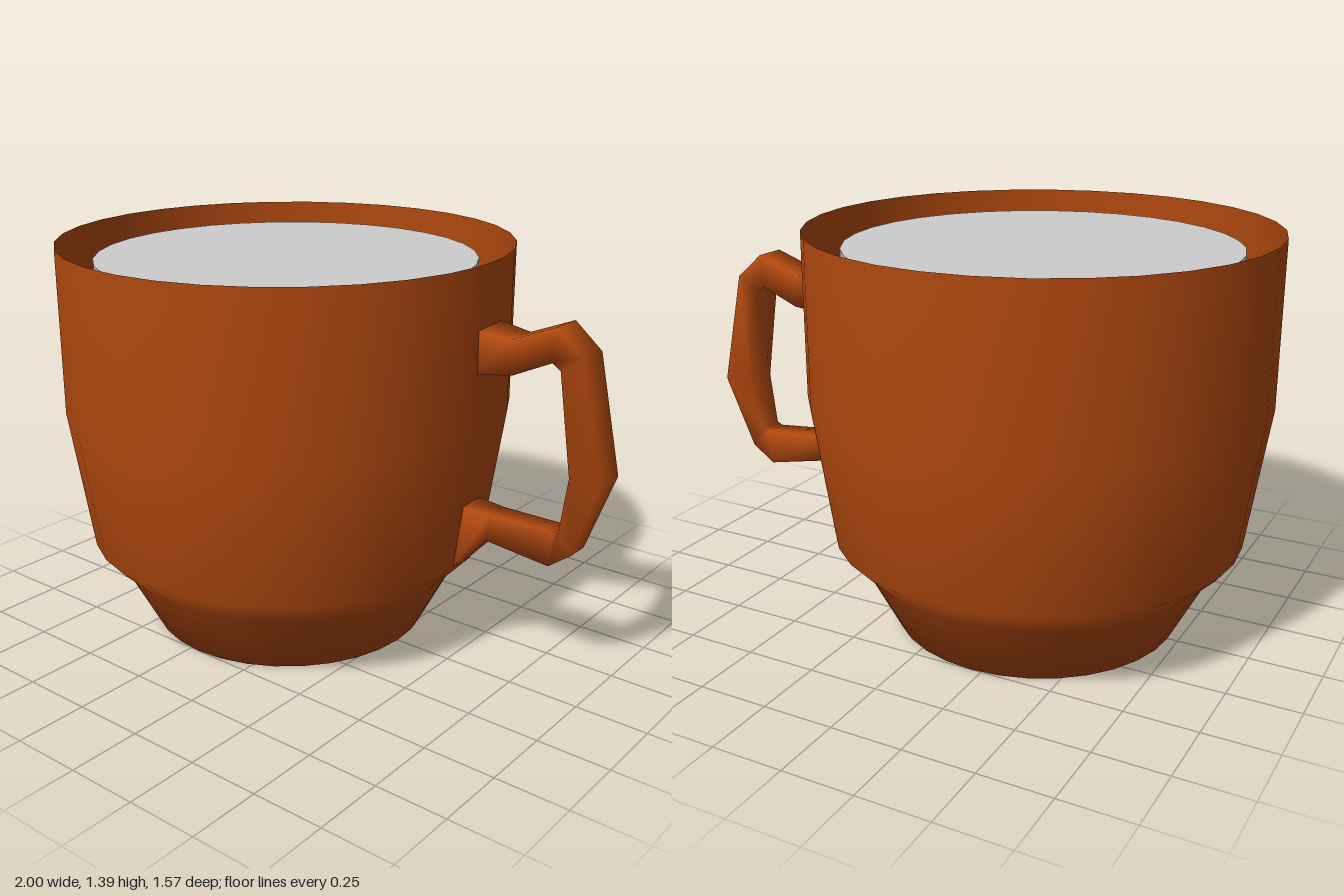
import * as THREE from 'three';

const CUP_X = -0.213;

// Tube with a four-cornered section lofted through stations:
// [outerX, outerY, innerX, innerY, backZ, frontZ]
function loftHandle(stations) {
  const pos = [], index = [];
  for (const [ox, oy, ix, iy, back, front] of stations) {
    pos.push(ox, oy, back, ox, oy, front, ix, iy, front, ix, iy, back);
  }
  for (let s = 0; s < stations.length - 1; s++) {
    for (let k = 0; k < 4; k++) {
      const a = s * 4 + k, b = s * 4 + (k + 1) % 4;
      index.push(a, b, a + 4, b, b + 4, a + 4);
    }
  }
  const geo = new THREE.BufferGeometry();
  geo.setAttribute('position', new THREE.Float32BufferAttribute(pos, 3));
  geo.setIndex(index);
  geo.computeVertexNormals();
  return geo;
}

export function createModel() {
  const clay = new THREE.MeshStandardMaterial({ color: 0xb0480e, side: THREE.DoubleSide });
  clay.name = 'orange brown clay';
  const grey = new THREE.MeshStandardMaterial({ color: 0xcccccc });
  grey.name = 'light grey';

  const group = new THREE.Group();
  group.name = 'mug';
  const add = (name, geo, mat, x = 0, y = 0) => {
    const mesh = new THREE.Mesh(geo, mat);
    mesh.name = name;
    mesh.position.set(x, y, 0);
    group.add(mesh);
  };

  // Thin-walled cup with a stepped foot
  const profile = [[0, 0], [0.5, 0], [0.625, 0.24], [0.714, 0.33], [0.787, 0.83], [0.787, 1.39]]
    .map(([r, y]) => new THREE.Vector2(r, y));
  add('cup', new THREE.LatheGeometry(profile, 32), clay, CUP_X);

  // Drink filling the cup
  add('drink', new THREE.CylinderGeometry(0.662, 0.662, 0.99, 32), grey, CUP_X, 0.835);

  // Angular handle
  add('handle', loftHandle([
    [0.56, 1.185, 0.56, 1.04, -0.16, 0],
    [0.67, 1.165, 0.68, 1.05, -0.16, -0.04],
    [0.82, 1.225, 0.81, 1.11, -0.17, -0.055],
    [0.915, 1.14, 0.84, 1.09, -0.175, -0.055],
    [0.997, 0.745, 0.887, 0.745, -0.183, -0.065],
    [0.91, 0.485, 0.86, 0.56, -0.155, -0.07],
    [0.83, 0.425, 0.84, 0.55, -0.15, -0.07],
    [0.61, 0.465, 0.62, 0.56, -0.13, -0.04],
    [0.49, 0.335, 0.53, 0.575, -0.12, -0.01],
  ]), clay);

  return group;
}
